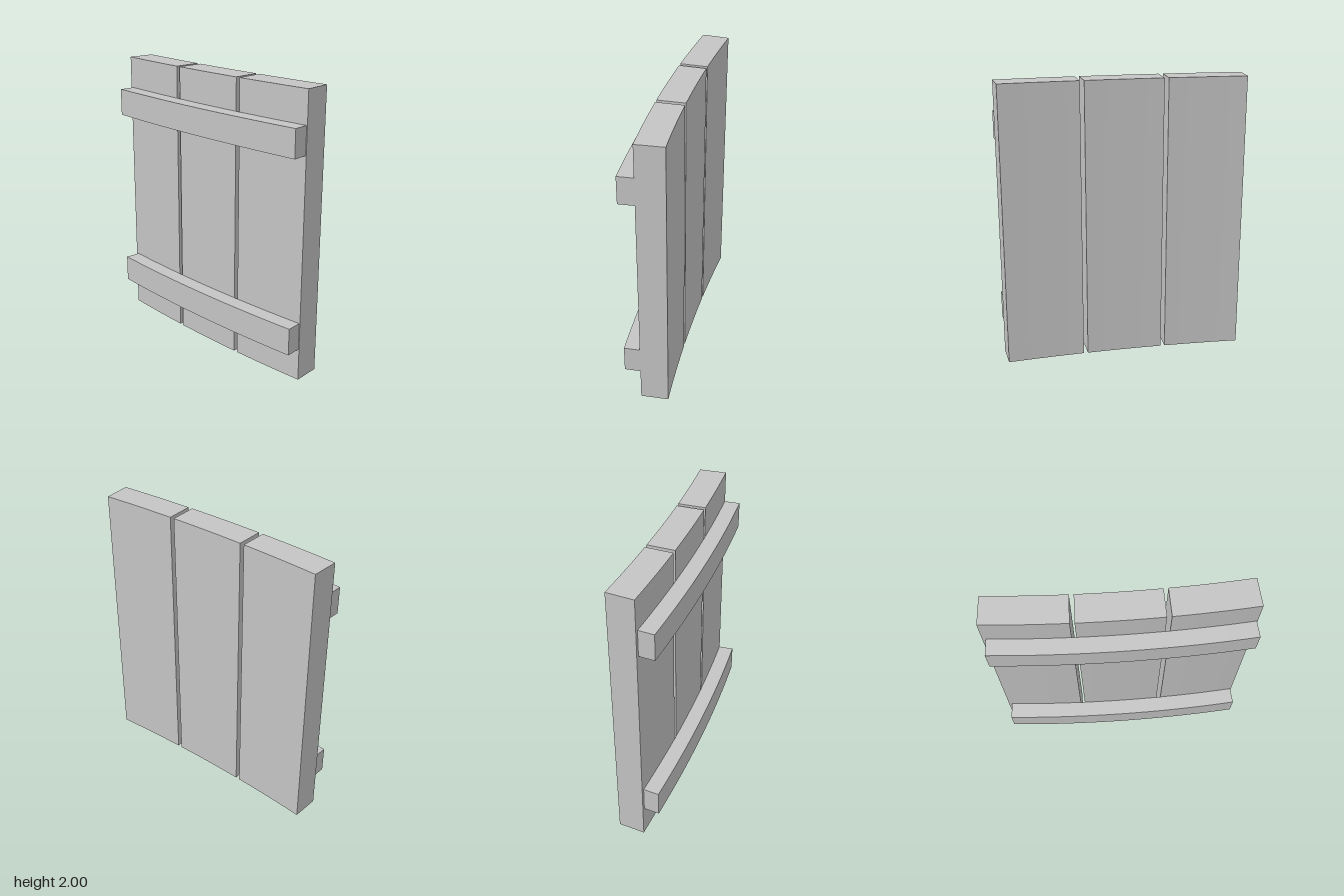
import * as THREE from 'three';

const R = 11.2;                 // radius of the planks' outer face
const CX = 0.865, CZ = 0.107 - R; // centre of curvature

// Box bent round the centre: a is the angle from the +x end, r the radius
function bentBoard(name, a0, a1, r0, r1, y0, y1, segments, material) {
  const geo = new THREE.BoxGeometry(1, 1, 1, segments, 1, 1);
  const p = geo.attributes.position;
  for (let i = 0; i < p.count; i++) {
    const a = THREE.MathUtils.lerp(a1, a0, p.getX(i) + 0.5);
    const r = THREE.MathUtils.lerp(r0, r1, p.getZ(i) + 0.5);
    const y = THREE.MathUtils.lerp(y0, y1, p.getY(i) + 0.5);
    p.setXYZ(i, CX - r * Math.sin(a), y, CZ + r * Math.cos(a));
  }
  geo.computeVertexNormals();
  const mesh = new THREE.Mesh(geo, material);
  mesh.name = name;
  return mesh;
}

export function createModel() {
  const model = new THREE.Group();
  model.name = 'curvedPlankPanel';
  const grey = new THREE.MeshStandardMaterial({ color: 0xc4c4c4 });
  grey.name = 'plain grey';

  // Three upright planks with narrow gaps
  const width = 0.04997, gap = 0.0027;
  ['leftPlank', 'middlePlank', 'rightPlank'].forEach((name, i) => {
    const a = i * (width + gap);
    model.add(bentBoard(name, a, a + width, R - 0.192, R, 0, 2, 6, grey));
  });

  // Two curved battens across the front
  [['lowerBatten', 0.23], ['upperBatten', 1.58]].forEach(([name, y]) => {
    model.add(bentBoard(name, 0.0005, 0.1533, R, R + 0.111, y, y + 0.193, 18, grey));
  });
  return model;
}
